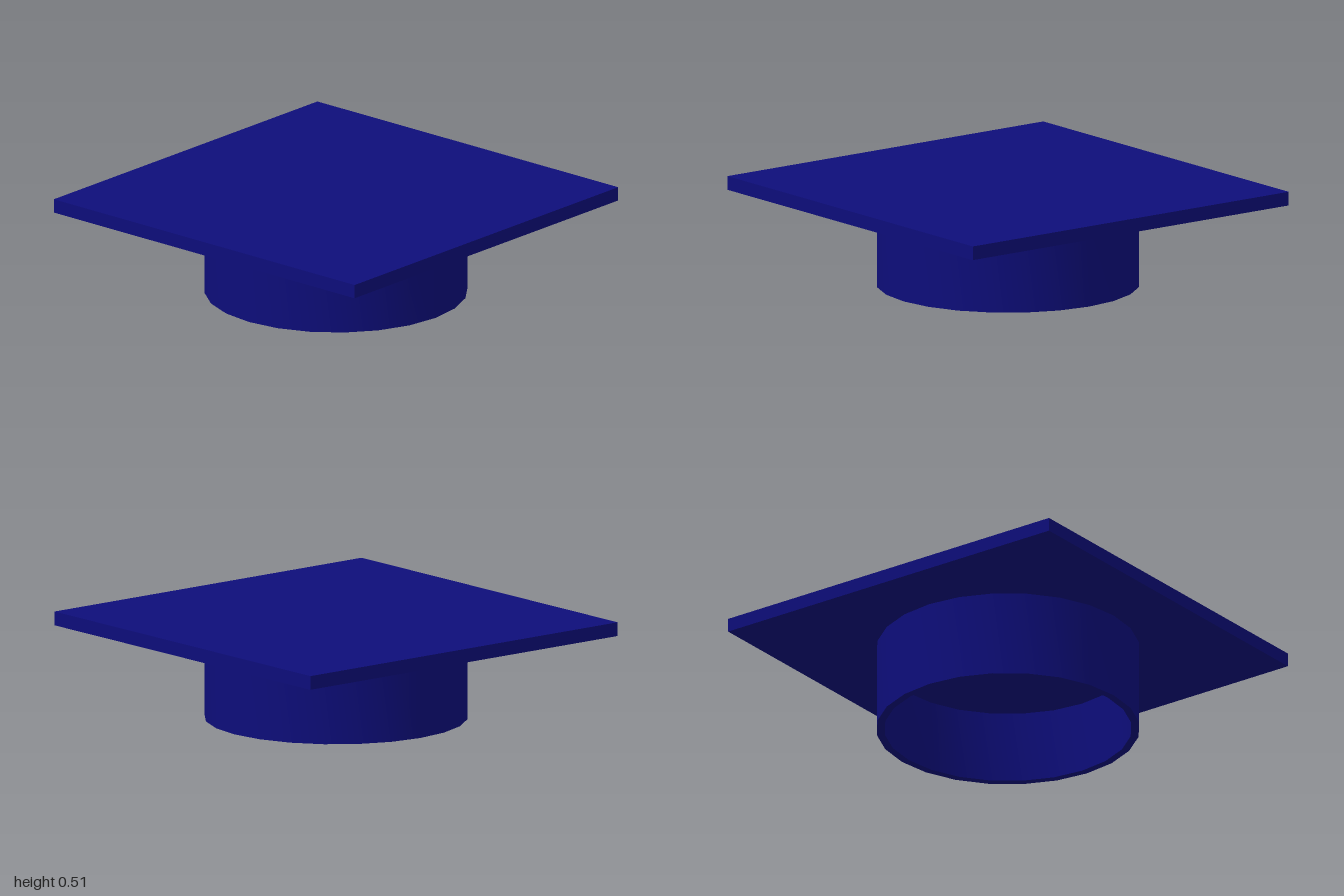
import * as THREE from 'three';
import { toCreasedNormals } from 'three/addons/utils/BufferGeometryUtils.js';

export function createModel() {
  const model = new THREE.Group();
  model.name = 'graduationCap';
  const navy = new THREE.MeshStandardMaterial({ color: 0x0d0d7a });

  const add = (name, geometry) => {
    const mesh = new THREE.Mesh(geometry, navy);
    mesh.name = name;
    model.add(mesh);
    return mesh;
  };

  // Flat square board on top
  add('board', new THREE.BoxGeometry(2, 0.07, 2)).position.y = 0.475;

  // Hollow round skullcap, open below, with a closed crown under the board
  const profile = [
    [0, 0.37], [0.62, 0.37], [0.62, 0], [0.66, 0], [0.66, 0.44],
  ].map(([r, y]) => new THREE.Vector2(r, y));
  add('skullcap', toCreasedNormals(new THREE.LatheGeometry(profile, 24), 0.6));

  return model;
}
